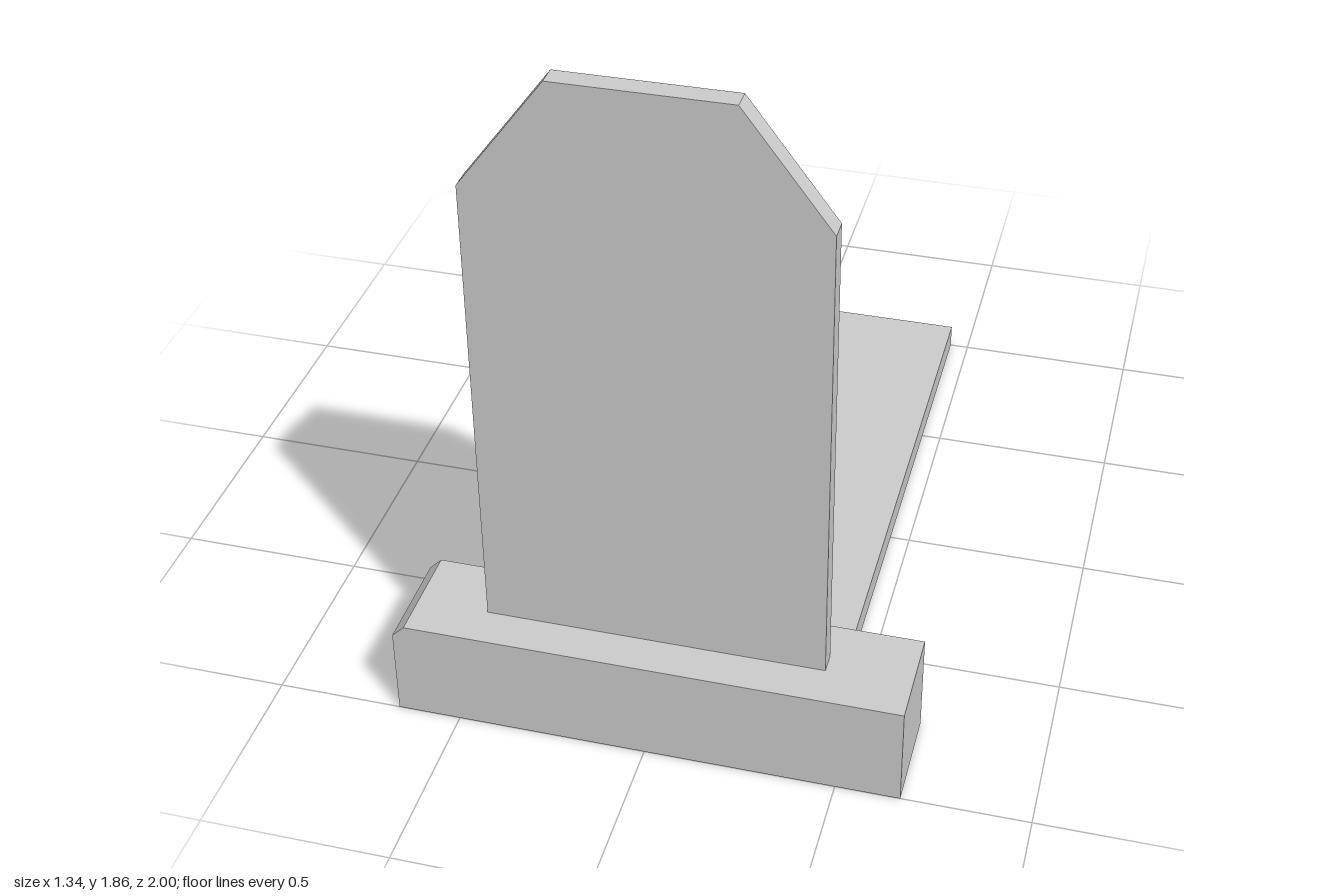
import * as THREE from 'three';

const material = new THREE.MeshStandardMaterial({ color: 0xcccccc, flatShading: true });

// Extrudes a front outline [x, y] from zBack to zFront
function slab(name, outline, zBack, zFront) {
  const shape = new THREE.Shape(outline.map(([x, y]) => new THREE.Vector2(x, y)));
  const geometry = new THREE.ExtrudeGeometry(shape, { depth: zFront - zBack, bevelEnabled: false });
  geometry.translate(0, 0, zBack);
  const mesh = new THREE.Mesh(geometry, material);
  mesh.name = name;
  return mesh;
}

export function createModel() {
  const group = new THREE.Group();
  group.name = 'gravestone';

  // Plinth with one chipped upper corner
  group.add(slab('plinth', [
    [-0.668, 0], [0.668, 0], [0.668, 0.28], [-0.635, 0.28], [-0.668, 0.247],
  ], 0.723, 1));

  // Upright stone with cut shoulders
  group.add(slab('headstone', [
    [-0.446, 0.28], [0.446, 0.28], [0.446, 1.562],
    [0.223, 1.862], [-0.223, 1.862], [-0.446, 1.562],
  ], 0.834, 0.89));

  // Flat slab lying behind the plinth
  group.add(slab('graveSlab', [
    [-0.446, 0], [0.446, 0], [0.446, 0.07], [-0.446, 0.07],
  ], -1, 0.723));

  return group;
}
